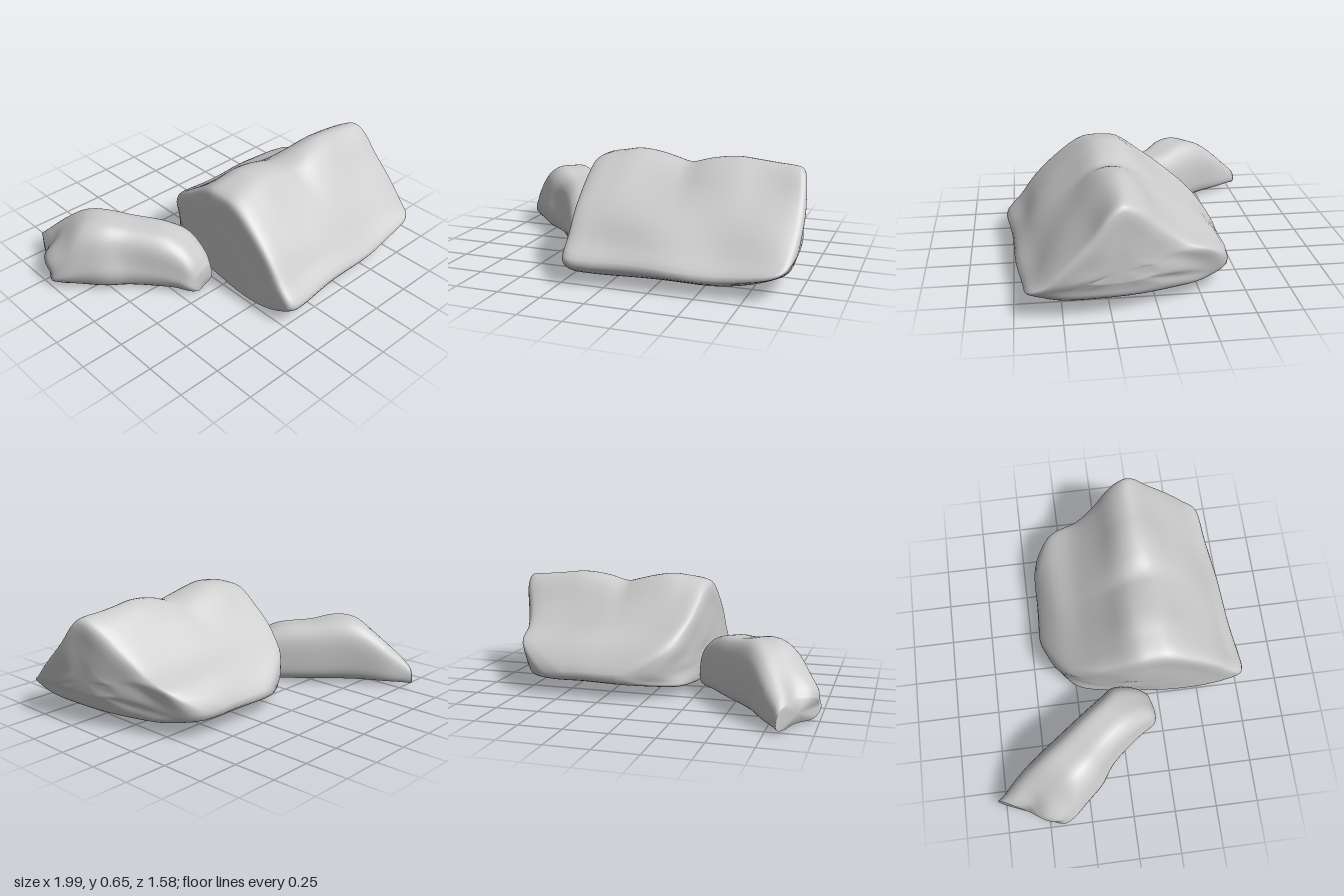
import * as THREE from 'three';

const material = new THREE.MeshStandardMaterial({ color: 0xcccccc });
const V = (x, y, z) => new THREE.Vector3(x, y, z);

// Linear lookup in a list of [key, value] pairs with rising keys
function lookup(table, k) {
  if (k <= table[0][0]) return table[0][1];
  for (let i = 1; i < table.length; i++) {
    const [k0, v0] = table[i - 1], [k1, v1] = table[i];
    if (k <= k1) return v0 + (v1 - v0) * (k - k0) / (k1 - k0);
  }
  return table[table.length - 1][1];
}

// Closed smooth skin over rings of points, with gentle weathered bumps
function rockMesh(name, rings, steps, bump) {
  const around = rings[0].length * 4;
  const dense = rings.map(r =>
    new THREE.CatmullRomCurve3(r, true).getPoints(around).slice(0, around));
  const columns = [];
  for (let j = 0; j < around; j++) {
    columns.push(new THREE.CatmullRomCurve3(dense.map(r => r[j])).getPoints(steps));
  }
  const points = [], index = [];
  for (let i = 0; i <= steps; i++) for (let j = 0; j < around; j++) points.push(columns[j][i]);
  const id = (i, j) => i * around + j % around;
  for (let i = 0; i < steps; i++) for (let j = 0; j < around; j++) {
    index.push(id(i, j), id(i, j + 1), id(i + 1, j), id(i + 1, j), id(i, j + 1), id(i + 1, j + 1));
  }
  // End caps
  for (const i of [0, steps]) {
    const c = V(0, 0, 0);
    for (let j = 0; j < around; j++) c.addScaledVector(points[id(i, j)], 1 / around);
    const k = points.push(c) - 1;
    for (let j = 0; j < around; j++) {
      if (i === 0) index.push(k, id(i, j + 1), id(i, j));
      else index.push(k, id(i, j), id(i, j + 1));
    }
  }
  // Turn the faces outward if the rings run the other way
  let volume = 0;
  for (let t = 0; t < index.length; t += 3) {
    const [a, b, c] = [points[index[t]], points[index[t + 1]], points[index[t + 2]]];
    volume += a.dot(b.clone().cross(c));
  }
  if (volume < 0) index.reverse();
  for (const p of points) {
    const { x, y, z } = p;
    p.x += bump * Math.sin(9 * y + 7 * z + 1);
    p.y += bump * Math.sin(11 * x + 8 * z) * Math.min(1, y * 5);
    p.z += bump * Math.sin(10 * x + 13 * y + 2);
    p.y = Math.max(0, p.y);
  }
  const geometry = new THREE.BufferGeometry().setFromPoints(points);
  geometry.setIndex(index);
  geometry.computeVertexNormals();
  const mesh = new THREE.Mesh(geometry, material);
  mesh.name = name;
  return mesh;
}

// Wedge-shaped boulder: a triangular section drawn along x
function largeRock() {
  // Each row: z, y at the left end of the sweep, then z, y at the right end
  const section = [
    [0.79, 0.13, 0.69, 0.09], [0.71, 0.24, 0.6, 0.19], [0.62, 0.37, 0.49, 0.31],
    [0.46, 0.52, 0.36, 0.45], [0.31, 0.625, 0.24, 0.6], [0.2, 0.64, 0.18, 0.63],
    [0.1, 0.63, 0.1, 0.59], [-0.05, 0.52, -0.02, 0.46], [-0.2, 0.4, -0.17, 0.34],
    [-0.35, 0.27, -0.34, 0.27], [-0.44, 0.13, -0.44, 0.11], [-0.29, 0.06, -0.26, 0.06],
    [-0.08, 0.03, -0.08, 0.03], [0.25, 0.012, 0.25, 0.012], [0.5, 0.005, 0.5, 0.005], [0.7, 0.055, 0.61, 0.045],
  ];
  // Plan outline of both ends: z, x
  const startX = [[-0.44, 0.12], [-0.38, -0.02], [-0.3, -0.15], [-0.15, -0.2], [0.1, -0.245], [0.8, -0.25]];
  const endX = [[-0.44, 0.55], [-0.42, 0.66], [-0.32, 0.79], [-0.1, 0.84], [0.1, 0.93],
    [0.3, 0.98], [0.5, 0.99], [0.63, 0.97], [0.7, 0.94]];
  // Rise and dip of the crest along the sweep
  const ridge = [[0, -0.02], [0.05, -0.01], [0.2, 0.012], [0.3, 0], [0.45, -0.035],
    [0.55, -0.005], [0.68, 0.012], [0.85, 0], [1, 0]];
  // Underside sweeping up towards one end: x, lift
  const undercut = [[0.6, 0], [0.75, 0.025], [0.85, 0.055], [0.97, 0.11]];
  // Position along the sweep and size of the section there
  const stations = [[0, 0.3], [0, 0.6], [0, 0.85], [0.01, 0.95], [0.04, 0.99], [0.12, 1], [0.2, 1],
    [0.3, 1], [0.38, 1], [0.45, 1], [0.55, 1], [0.68, 1], [0.78, 1], [0.88, 1], [0.95, 0.99],
    [0.985, 0.96], [1, 0.88], [1, 0.6], [1, 0.3]];
  const rings = stations.map(([u, s]) => section.map(([z0, y0, z1, y1]) => {
    const z = 0.2 + (z0 + (z1 - z0) * u - 0.2) * s;
    const level = y0 + (y1 - y0) * u;
    const y = 0.25 + (level + lookup(ridge, u) * (level / 0.64) ** 5 - 0.25) * s;
    const low = Math.max(0, 1 - y / 0.22);
    const a = lookup(startX, z), b = lookup(endX, z) - 0.04 * low;
    const x = a + (b - a) * u;
    return V(x, y + lookup(undercut, x) * low, z);
  }));
  return rockMesh('largeRock', rings, 72, 0.005);
}

// Long low stone lying behind and to the side
function smallRock() {
  // Each row: x, z of one edge, x, z of the other edge, height
  const spans = [
    [-0.43, 0.22, -0.27, 0.17, 0.12], [-0.47, 0.2, -0.24, 0.09, 0.2], [-0.52, 0.13, -0.24, -0.04, 0.28],
    [-0.58, 0.05, -0.31, -0.13, 0.325], [-0.7, -0.09, -0.43, -0.29, 0.36], [-0.81, -0.17, -0.54, -0.43, 0.38],
    [-0.9, -0.27, -0.62, -0.54, 0.36], [-0.96, -0.34, -0.71, -0.67, 0.27], [-0.99, -0.4, -0.79, -0.76, 0.18],
    [-0.985, -0.43, -0.82, -0.8, 0.13],
  ];
  const profile = [[0, 0.25], [0.03, 0.5], [0.12, 0.82], [0.3, 0.98], [0.55, 1], [0.8, 0.97], [0.95, 0.77],
    [1, 0.4], [0.98, 0.12], [0.85, 0.02], [0.5, 0], [0.12, 0.02]];
  const rings = spans.map(([x0, z0, x1, z1, h]) => profile.map(([t, k]) =>
    V(x0 + (x1 - x0) * t, 0.01 + k * h, z0 + (z1 - z0) * t)));
  // Uneven far end: a bulging corner beside a notch
  for (const ring of rings.slice(-2)) {
    for (const i of [2, 3]) ring[i].add(V(-0.015, 0, -0.01));
    for (const i of [4, 10]) ring[i].add(V(0.02, 0, 0.015));
  }
  return rockMesh('smallRock', rings, 44, 0.006);
}

export function createModel() {
  const group = new THREE.Group();
  group.name = 'rocks';
  group.add(largeRock(), smallRock());
  return group;
}
